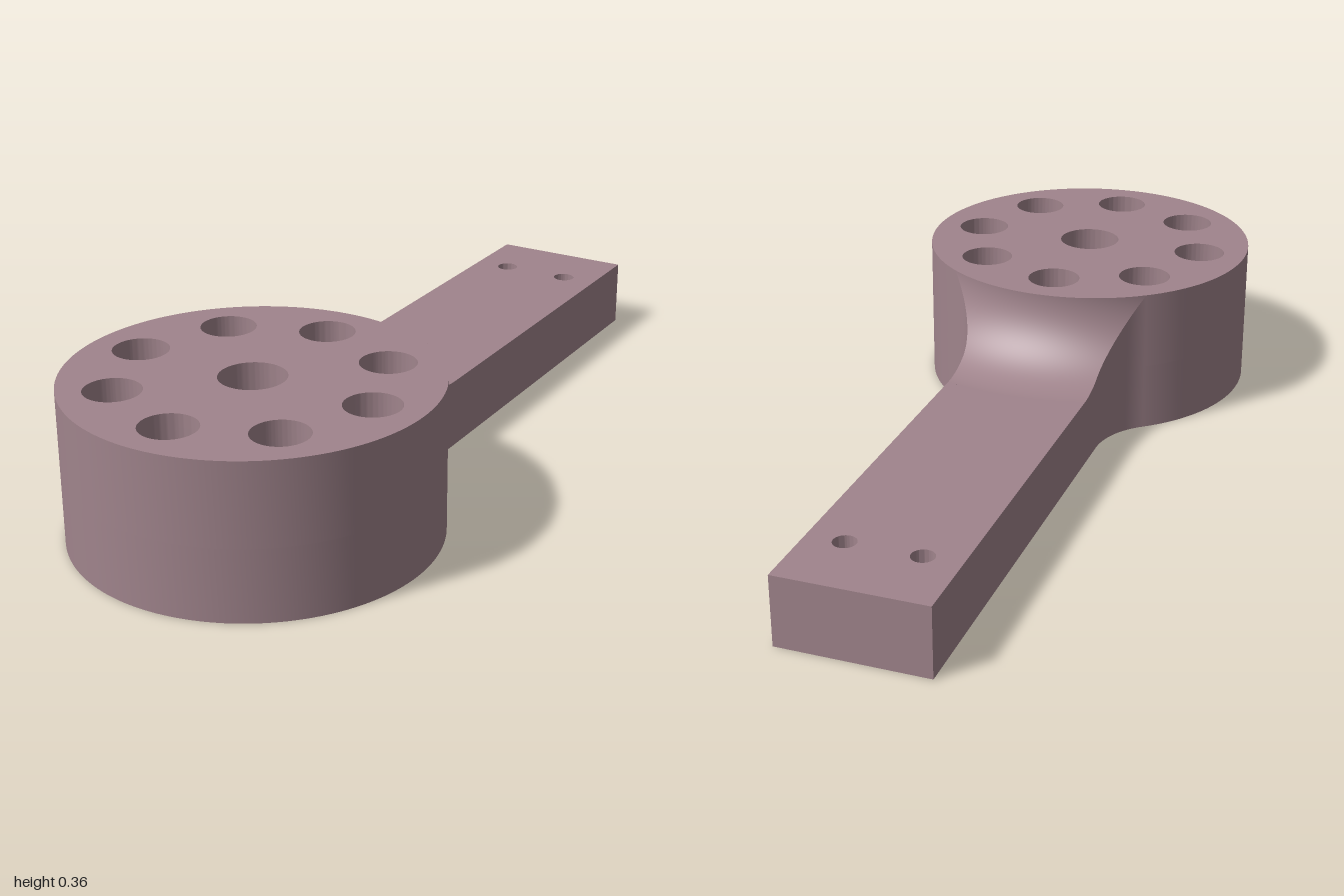
import * as THREE from 'three';
import { toCreasedNormals } from 'three/addons/utils/BufferGeometryUtils.js';
import { ParametricGeometry } from 'three/addons/geometries/ParametricGeometry.js';

const HUB_Z = 0.576, HUB_R = 0.424, HUB_H = 0.364; // round hub
const ARM_W = 0.178, ARM_H = 0.17;                 // half width and height of the arm
const FILLET = HUB_H - ARM_H;                      // blend radius of hub into arm
const REACH = HUB_R + FILLET;                      // where the blend ends

const material = new THREE.MeshStandardMaterial({ color: 0xa0848c, side: THREE.DoubleSide });

function mesh(name, geometry) {
  const m = new THREE.Mesh(geometry, material);
  m.name = name;
  return m;
}

// Plan outlines are drawn with shape y = -z, then raised upwards
function raise(shape, y0, y1) {
  const g = new THREE.ExtrudeGeometry(shape, { depth: y1 - y0, bevelEnabled: false, curveSegments: 72 });
  g.rotateX(-Math.PI / 2).translate(0, y0, 0);
  return toCreasedNormals(g, 0.5);
}

function circle(x, z, r) {
  return new THREE.Path().absarc(x, -z, r, 0, Math.PI * 2, true);
}

// One layer of the hub: centre opening plus a ring of eight holes
function hubLayer(centre, holeRadius) {
  const s = new THREE.Shape().absarc(0, -HUB_Z, HUB_R, 0, Math.PI * 2, false);
  s.holes.push(centre);
  for (let i = 0; i < 8; i++) {
    const a = (i * Math.PI) / 4;
    s.holes.push(circle(0.303 * Math.cos(a), HUB_Z + 0.303 * Math.sin(a), holeRadius));
  }
  return s;
}

// Half angle of the neck, seen from the hub axis, at radius r
function neckAngle(r) {
  const fx = ARM_W + FILLET;
  const kink = Math.hypot(ARM_W, Math.sqrt(REACH * REACH - fx * fx));
  if (r > kink) return Math.asin(ARM_W / r);
  const c = (r * r + REACH * REACH - FILLET * FILLET) / (2 * r * REACH);
  return Math.asin(fx / REACH) - Math.acos(Math.min(1, c));
}

// Neck surface: place(u, angle, height) gives [angle, y] across each ring
function neckPatch(place, across) {
  return new ParametricGeometry((u, v, p) => {
    const t = (v * Math.PI) / 2;
    const r = REACH - FILLET * Math.cos(t);
    const [a, y] = place(u, neckAngle(r), HUB_H - FILLET * Math.sin(t));
    p.set(r * Math.sin(a), y, HUB_Z - r * Math.cos(a));
  }, across, 40);
}

export function createModel() {
  const model = new THREE.Group();
  model.name = 'leverArm';

  // Hub: hexagonal socket below, counterbored holes above
  const hub = new THREE.Group();
  hub.name = 'hub';
  const hex = new THREE.Path();
  hex.setFromPoints([0, 1, 2, 3, 4, 5].map((i) => new THREE.Vector2(
    0.135 * Math.cos((i * Math.PI) / 3), -HUB_Z - 0.135 * Math.sin((i * Math.PI) / 3))));
  hex.closePath();
  hub.add(mesh('hubLower', raise(hubLayer(hex, 0.04), 0, ARM_H)));
  hub.add(mesh('hubUpper', raise(hubLayer(circle(0, HUB_Z, 0.077), 0.065), ARM_H, HUB_H)));
  model.add(hub);

  // Neck: concave blend swept round the hub, with flared sides
  const neck = new THREE.Group();
  neck.name = 'neck';
  neck.add(mesh('neckTop', neckPatch((u, a, h) => [(2 * u - 1) * a, h], 32)));
  neck.add(mesh('neckBottom', neckPatch((u, a) => [(1 - 2 * u) * a, 0], 32)));
  neck.add(mesh('neckLeftSide', neckPatch((u, a, h) => [a, (1 - u) * h], 4)));
  neck.add(mesh('neckRightSide', neckPatch((u, a, h) => [-a, u * h], 4)));
  model.add(neck);

  // Arm: flat bar with two holes, its inner end following the neck
  const half = Math.asin(ARM_W / REACH);
  const bar = new THREE.Shape();
  bar.moveTo(ARM_W, 1);
  bar.lineTo(-ARM_W, 1);
  bar.absarc(0, -HUB_Z, REACH, Math.PI / 2 + half, Math.PI / 2 - half, true);
  bar.closePath();
  for (const side of [-1, 1]) bar.holes.push(circle(side * 0.088, -0.826, 0.027));
  model.add(mesh('arm', raise(bar, 0, ARM_H)));

  return model;
}
